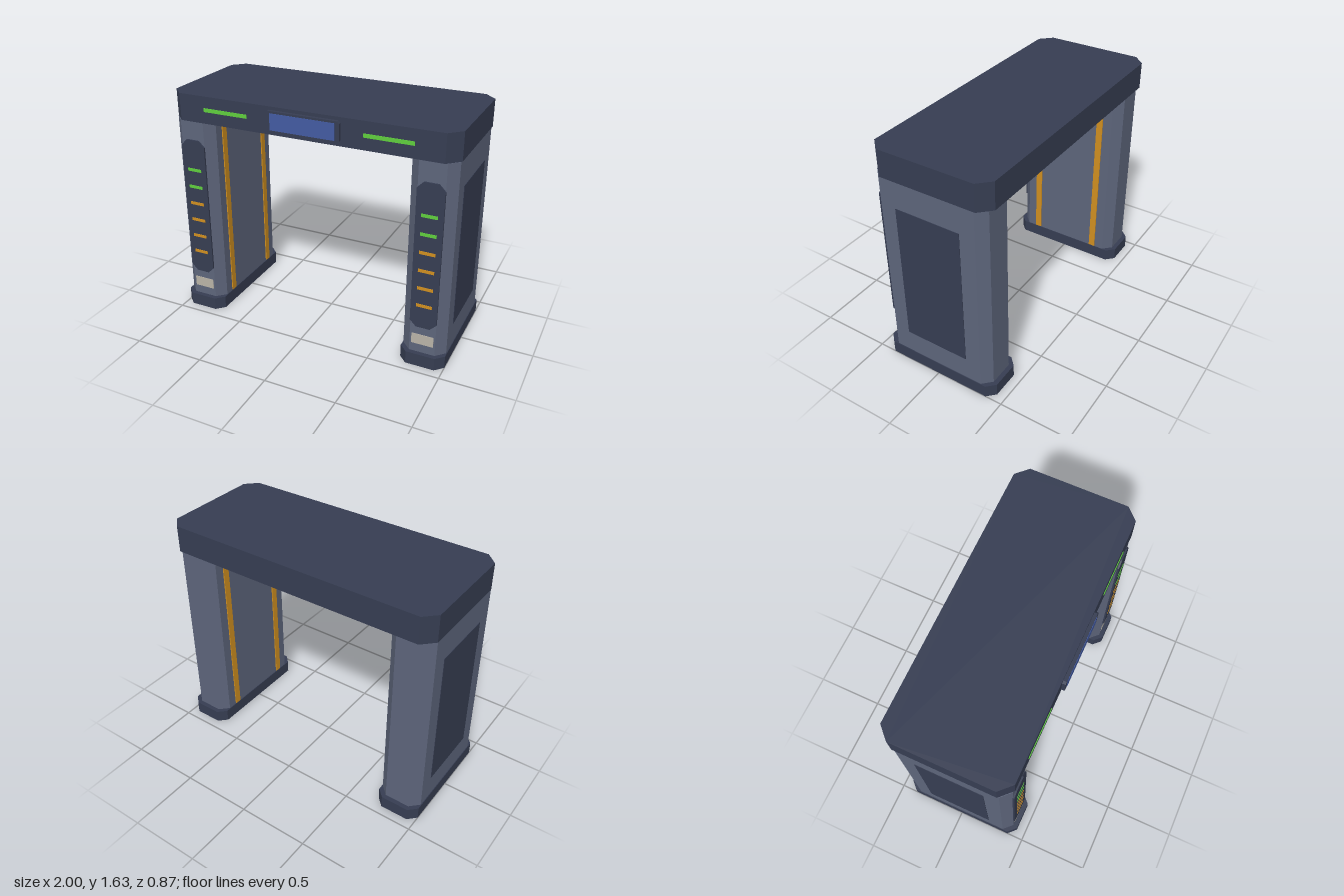
import * as THREE from 'three';

const mat = (name, color) => {
  const m = new THREE.MeshStandardMaterial({ color });
  m.name = name;
  return m;
};

// Rectangle with cut corners
function cutRect(x0, x1, y0, y1, c) {
  return new THREE.Shape([
    [x0 + c, y0], [x1 - c, y0], [x1, y0 + c], [x1, y1 - c],
    [x1 - c, y1], [x0 + c, y1], [x0, y1 - c], [x0, y0 + c],
  ].map(([x, y]) => new THREE.Vector2(x, y)));
}

// Upright block with cut vertical corners
function block(name, material, [x0, x1], [y0, y1], [z0, z1], c) {
  const g = new THREE.ExtrudeGeometry(cutRect(x0, x1, -z1, -z0, c), { depth: y1 - y0, bevelEnabled: false });
  g.rotateX(-Math.PI / 2).translate(0, y0, 0);
  const m = new THREE.Mesh(g, material);
  m.name = name;
  return m;
}

// Front-facing plate with cut corners
function plate(name, material, [x0, x1], [y0, y1], [z0, z1], c) {
  const g = new THREE.ExtrudeGeometry(cutRect(x0, x1, y0, y1, c), { depth: z1 - z0, bevelEnabled: false });
  g.translate(0, 0, z0);
  const m = new THREE.Mesh(g, material);
  m.name = name;
  return m;
}

function box(name, material, [w, h, d], [x, y, z]) {
  const m = new THREE.Mesh(new THREE.BoxGeometry(w, h, d), material);
  m.name = name;
  m.position.set(x, y, z);
  return m;
}

export function createModel() {
  const navy = mat('dark navy', 0x363d52);
  const grey = mat('slate grey', 0x5d657b);
  const green = mat('light green', 0x5fcf3d);
  const orange = mat('amber', 0xd08f20);
  const blue = mat('screen blue', 0x435ba2);
  const beige = mat('label beige', 0xb9b3a7);

  const model = new THREE.Group();
  model.name = 'walkThroughGate';

  // Overhead beam with its display
  const header = new THREE.Group();
  header.name = 'header';
  header.add(block('headerBeam', navy, [-1, 1], [1.44, 1.627], [-0.435, 0.412], 0.08));
  header.add(plate('displayFrame', navy, [-0.255, 0.255], [1.465, 1.605], [0.412, 0.435], 0.015));
  header.add(box('displayScreen', blue, [0.45, 0.112, 0.006], [0, 1.535, 0.435]));
  for (const s of [-1, 1]) {
    header.add(box('headerLight', green, [0.326, 0.026, 0.006], [s * 0.569, 1.535, 0.413]));
  }
  model.add(header);

  // Two pillars, mirrored about x = 0
  for (const s of [-1, 1]) {
    const side = new THREE.Group();
    side.name = s > 0 ? 'leftPillar' : 'rightPillar';
    const cx = s * 0.846;
    const span = (half) => [cx - half, cx + half];

    side.add(block('foot', navy, span(0.154), [0, 0.09], [-0.435, 0.435], 0.055));
    side.add(block('pillarBody', grey, span(0.149), [0.09, 1.44], [-0.403, 0.403], 0.061));
    side.add(box('outerPanel', navy, [0.006, 0.993, 0.466], [s * 0.995, 0.751, 0]));

    // Amber strips on the passage side
    for (const z of [-0.25, 0.25]) {
      side.add(box('innerStrip', orange, [0.009, 1.34, 0.048], [s * 0.6945, 0.765, z]));
    }

    // Front indicator panel, lights and label
    side.add(plate('indicatorPanel', navy, span(0.09), [0.288, 1.306], [0.4, 0.413], 0.043));
    for (let i = 0; i < 6; i++) {
      side.add(box('indicatorLight', i < 4 ? orange : green, [0.106, 0.022, 0.006], [cx, 0.453 + i * 0.127, 0.413]));
    }
    side.add(box('label', beige, [0.151, 0.075, 0.006], [cx, 0.19, 0.403]));
    model.add(side);
  }
  return model;
}
